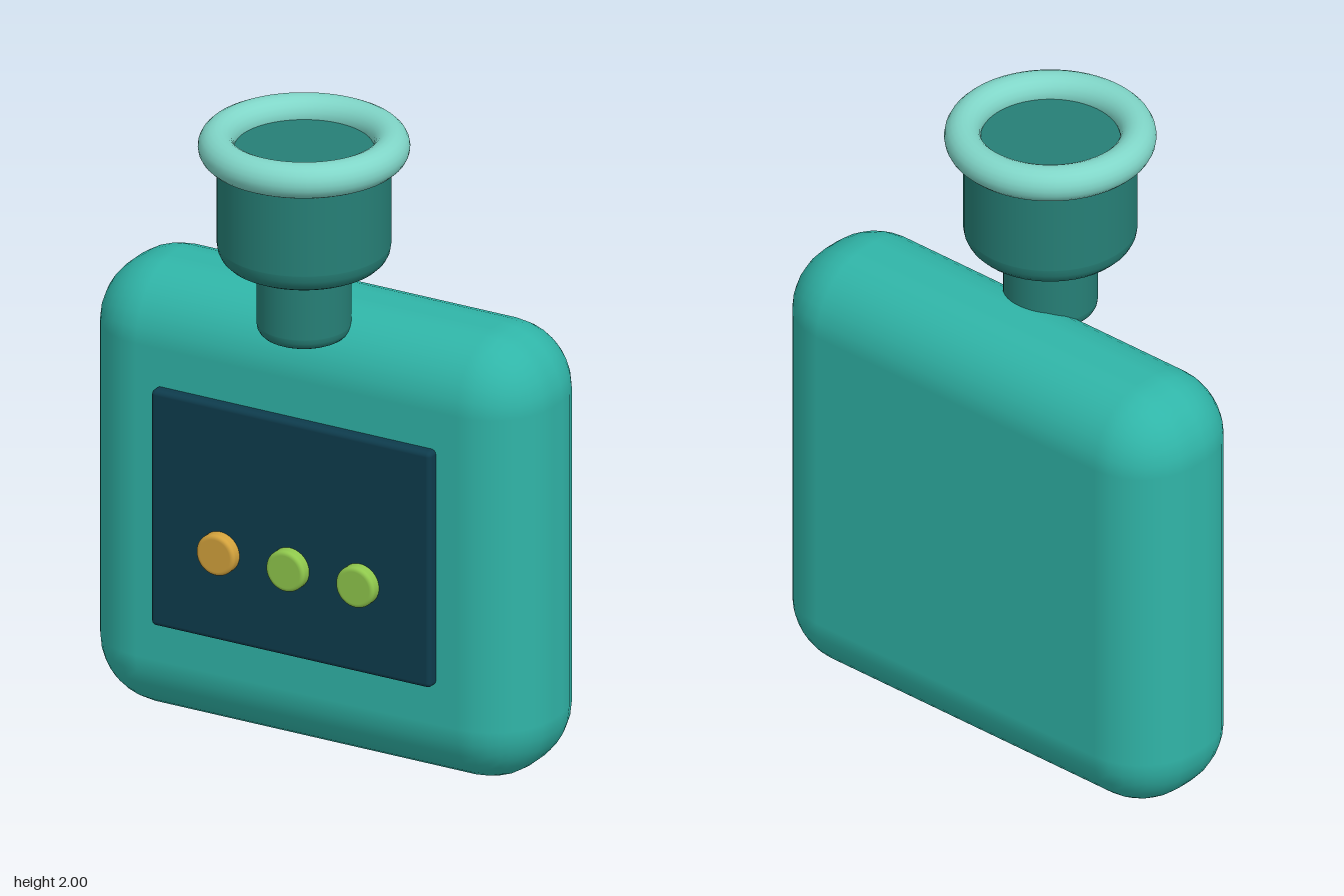
import * as THREE from 'three';
import { RoundedBoxGeometry } from 'three/addons/geometries/RoundedBoxGeometry.js';

const mat = (name, color) => {
  const m = new THREE.MeshStandardMaterial({ color });
  m.name = name;
  return m;
};

// Solid of revolution from y0 to y1 with a rounded lower rim (and upper rim if top > 0)
function roundedCylinder(radius, y0, y1, bottom, top = 0) {
  const p = [new THREE.Vector2(0, y0), new THREE.Vector2(radius - bottom - 0.002, y0)];
  const steps = 5;
  for (let i = 0; i <= steps; i++) {
    const a = (i / steps) * Math.PI / 2;
    p.push(new THREE.Vector2(radius - bottom + bottom * Math.sin(a), y0 + bottom - bottom * Math.cos(a)));
  }
  p.push(new THREE.Vector2(radius, y0 + bottom + 0.002));
  for (let i = 0; i <= steps && top > 0; i++) {
    const a = (i / steps) * Math.PI / 2;
    p.push(new THREE.Vector2(radius - top + top * Math.cos(a), y1 - top + top * Math.sin(a)));
  }
  if (top > 0) p.push(new THREE.Vector2(radius - top - 0.002, y1));
  else p.push(new THREE.Vector2(radius, y1 - 0.002), new THREE.Vector2(radius, y1), new THREE.Vector2(radius - 0.002, y1));
  p.push(new THREE.Vector2(0, y1));
  return new THREE.LatheGeometry(p, 48);
}

export function createModel() {
  const group = new THREE.Group();
  const teal = mat('teal', 0x30b5a8);
  const darkTeal = mat('dark teal', 0x267f76);
  const mint = mat('mint', 0x80d6c8);
  const navy = mat('navy', 0x0e3c4d);
  const green = mat('green', 0x8fc74c);
  const amber = mat('amber', 0xd3a23c);

  const add = (name, geometry, material, x, y, z) => {
    const mesh = new THREE.Mesh(geometry, material);
    mesh.name = name;
    mesh.position.set(x, y, z);
    group.add(mesh);
    return mesh;
  };

  // Slab-shaped body and the panel on its front
  add('body', new RoundedBoxGeometry(1.51, 1.42, 0.47, 4, 0.21), teal, 0, 0.71, -0.135);
  add('panel', new RoundedBoxGeometry(0.95, 0.755, 0.07, 3, 0.015), navy, 0, 0.713, 0.1);

  // Row of indicator buttons
  [-0.237, 0, 0.237].forEach((x, i) => {
    const button = add('button' + (i + 1), roundedCylinder(0.065, -0.03, 0.03, 0.012, 0.012),
      i === 0 ? amber : green, x, 0.622, 0.14);
    button.rotation.x = Math.PI / 2;
  });

  // Neck, cup and rolled rim, set forward of the body
  const z = 0.053;
  add('neck', roundedCylinder(0.14, 1.34, 1.62, 0.04), darkTeal, 0, 0, z);
  add('cup', roundedCylinder(0.257, 1.57, 1.94, 0.065), darkTeal, 0, 0, z);
  const rim = add('rim', new THREE.TorusGeometry(0.259, 0.054, 20, 56), mint, 0, 1.946, z);
  rim.rotation.x = Math.PI / 2;

  return group;
}
